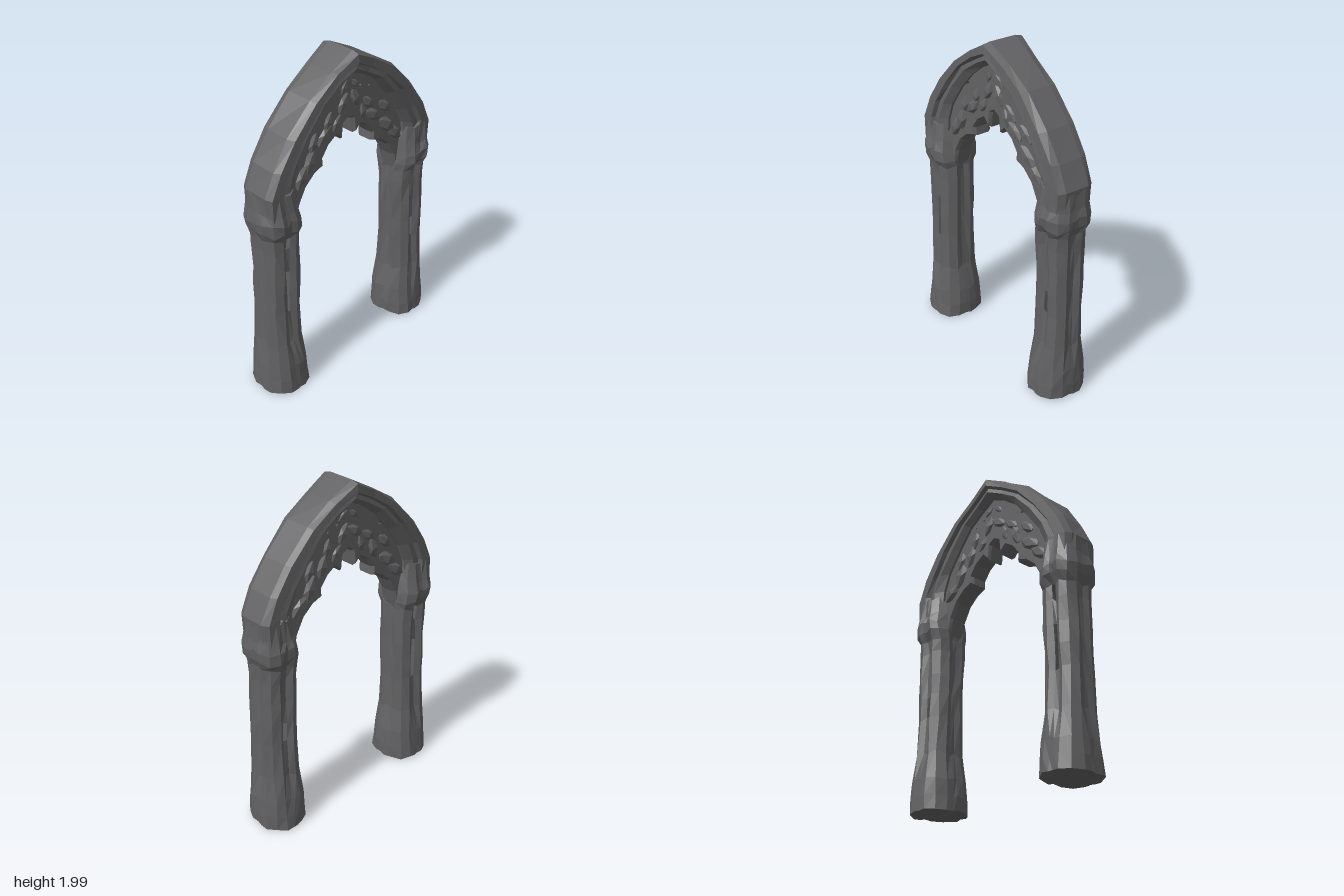
import * as THREE from 'three';

const stone = new THREE.MeshStandardMaterial({ color: 0x626264, flatShading: true, side: THREE.DoubleSide });
stone.name = 'dark stone';

// Small seeded noise in the range -1..1
let seed = 7;
const noise = () => {
  seed = (seed * 16807) % 2147483647;
  return (seed / 2147483647) * 2 - 1;
};

// Skin a series of closed rings, with caps; skip(level, index) leaves an opening
function loft(rings, flip = false, skip = () => false) {
  const pos = [];
  const tri = (a, b, c) => (flip ? [a, c, b] : [a, b, c]).forEach((p) => pos.push(p.x, p.y, p.z));
  const n = rings[0].length;
  const middle = (r) => r.reduce((m, p) => m.add(p), new THREE.Vector3()).divideScalar(n);
  const first = rings[0], last = rings[rings.length - 1];
  const c0 = middle(first), c1 = middle(last);
  for (let i = 0; i < n; i++) {
    const j = (i + 1) % n;
    for (let k = 0; k < rings.length - 1; k++) {
      if (skip(k, i)) continue;
      const lo = rings[k], hi = rings[k + 1];
      tri(lo[i], hi[i], lo[j]);
      tri(lo[j], hi[i], hi[j]);
    }
    tri(c0, first[i], first[j]);
    tri(c1, last[j], last[i]);
  }
  const geo = new THREE.BufferGeometry();
  geo.setAttribute('position', new THREE.Float32BufferAttribute(pos, 3));
  geo.computeVertexNormals();
  return geo;
}

// Pier levels: y, outer x, inner x, half depth, flute strength
const LEVELS = [
  [0.02, 0.66, 0.37, 0.16, 0], [0.1, 0.66, 0.37, 0.155, 0], [0.2, 0.655, 0.375, 0.148, 0.1],
  [0.36, 0.645, 0.4, 0.128, 0.7], [0.58, 0.642, 0.4, 0.12, 1], [0.72, 0.64, 0.398, 0.12, 1],
  [0.84, 0.638, 0.396, 0.12, 1], [0.99, 0.636, 0.394, 0.122, 1], [1.08, 0.64, 0.394, 0.127, 0.9],
  [1.13, 0.655, 0.392, 0.148, 0.4], [1.19, 0.66, 0.4, 0.15, 0.3], [1.25, 0.648, 0.41, 0.136, 0.4],
  [1.36, 0.642, 0.43, 0.118, 0.2],
];

// Fluted cross-section, one quadrant mirrored into four
function pierRing([y, xo, xi, h, g], s) {
  const quad = [[1 - 0.14 * g, 0.1], [0.98, 0.4], [0.76, 0.78], [0.38, 0.98], [0.1, 1 - 0.2 * g]];
  const back = [...quad].reverse();
  const pts = [
    ...quad, ...back.map(([x, z]) => [-x, z]),
    ...quad.map(([x, z]) => [-x, -z]), ...back.map(([x, z]) => [x, -z]),
  ];
  const c = (xo + xi) / 2, a = (xo - xi) / 2;
  return pts.map(([x, z]) => new THREE.Vector3(
    s * (c + a * x) + noise() * 0.004,
    y + noise() * (y < 0.05 ? 0.008 : 0.014),
    h * z + noise() * 0.005,
  ));
}

// Half arch stations from springing to apex: outer x, outer y, inner x, inner y
const HALF = [
  [0.63, 1.2, 0.45, 1.2], [0.643, 1.36, 0.43, 1.4], [0.575, 1.5, 0.385, 1.5],
  [0.47, 1.65, 0.29, 1.64], [0.31, 1.815, 0.19, 1.755], [0.15, 1.92, 0.09, 1.825], [0, 2, 0, 1.87],
];
const mirrored = (list, f) => [...list, ...list.slice(0, -1).reverse().map(f)];
const STATIONS = mirrored(HALF, ([a, b, c, d]) => [-a, b, -c, d]);

// Moulded rib section: 1 = outer face, 0 = inner face, with depth
const RIB = [[1, 0.075], [0.9, 0.115], [0.55, 0.12], [0.46, 0.098], [0.25, 0.104], [0, 0.075]];
const RIB_RING = [...RIB, ...[...RIB].reverse().map(([t, z]) => [t, -z])];

function ribRing([ox, oy, ix, iy]) {
  const apex = ox === 0 ? 1.12 : 1;
  return RIB_RING.map(([t, z]) => {
    const j = apex > 1 ? 0 : 0.006;
    return new THREE.Vector3(ix + (ox - ix) * t + noise() * j, iy + (oy - iy) * t + noise() * j, z * apex);
  });
}

// Cusped inner edge of the tracery, springing to apex
const CUSPS = [
  [0.4, 1.1], [0.375, 1.2], [0.325, 1.29], [0.26, 1.345], [0.19, 1.37], [0.195, 1.42],
  [0.15, 1.48], [0.095, 1.515], [0.05, 1.475], [0.035, 1.57], [0, 1.59],
];

function traceryGeometry() {
  const inner = mirrored(CUSPS, ([x, y]) => [-x, y]);
  const outer = STATIONS.map(([ox, oy, ix, iy]) => [ix + (ox - ix) * 0.2, iy + (oy - iy) * 0.2]);
  const shape = new THREE.Shape([...inner, ...outer.reverse()].map(([x, y]) => new THREE.Vector2(x, y)));
  // Pierced openings near the crown
  const holes = [
    [[-0.29, 1.66], [-0.235, 1.71], [-0.21, 1.67]],
    [[0.06, 1.77], [0.11, 1.775], [0.09, 1.735]],
    [[0.13, 1.75], [0.175, 1.745], [0.16, 1.71]],
  ];
  holes.forEach((h) => shape.holes.push(new THREE.Path(h.map(([x, y]) => new THREE.Vector2(x, y)))));
  const geo = new THREE.ExtrudeGeometry(shape, {
    depth: 0.08, bevelEnabled: true, bevelThickness: 0.02, bevelSize: 0.012, bevelOffset: -0.012, bevelSegments: 1,
  });
  return geo.translate(0, 0, -0.04);
}

export function createModel() {
  const group = new THREE.Group();
  const add = (geo, name, parent = group) => {
    const mesh = new THREE.Mesh(geo, stone);
    mesh.name = name;
    parent.add(mesh);
    return mesh;
  };

  // Piers with slots worn through the front and back flutes
  for (const [s, name, slots] of [[1, 'leftPier', [4]], [-1, 'rightPier', [4, 5, 7]]]) {
    const rings = LEVELS.map((l) => pierRing(l, s));
    add(loft(rings, s < 0, (k, i) => (i === 4 || i === 14) && slots.includes(k)), name);
  }

  // Pointed outer rib
  add(loft(STATIONS.map(ribRing)), 'archRib');

  // Cusped tracery under the rib
  add(traceryGeometry(), 'tracery');

  // Weathered carving scattered over both tracery faces
  const carving = new THREE.Group();
  carving.name = 'carving';
  group.add(carving);
  const spots = [
    [0.37, 1.36, 0.07], [0.3, 1.44, 0.075], [0.28, 1.55, 0.06], [0.2, 1.55, 0.065],
    [0.16, 1.64, 0.055], [0.1, 1.6, 0.05], [0.05, 1.69, 0.06], [0.04, 1.79, 0.04],
  ];
  for (const s of [1, -1]) for (const side of [1, -1]) for (const [x, y, r] of spots) {
    const lump = add(new THREE.IcosahedronGeometry(r, 0), 'carvedLeaf', carving);
    lump.position.set(s * x + noise() * 0.012, y + noise() * 0.012, side * 0.052);
    lump.scale.set(1.2, 0.6, 0.5);
    lump.rotation.z = s * (-0.95 + noise() * 0.4);
  }
  return group;
}
